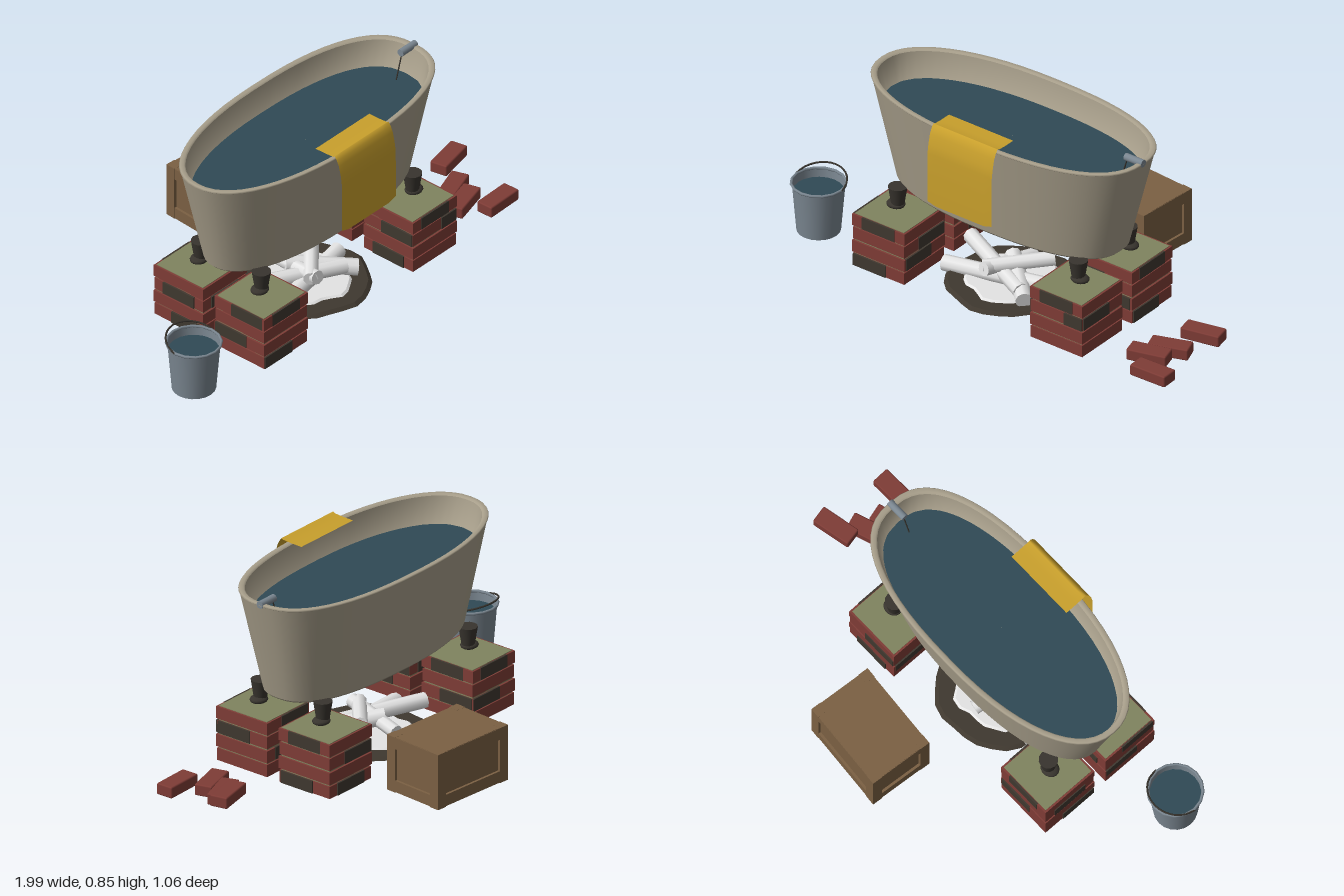
import * as THREE from 'three';
import { RoundedBoxGeometry } from 'three/addons/geometries/RoundedBoxGeometry.js';

const mat = (name, color, extra = {}) => Object.assign(new THREE.MeshStandardMaterial({ color, ...extra }), { name });

export function createModel() {
  const D = { side: THREE.DoubleSide };
  const M = {
    enamel: mat('enamel', 0xa89f8b, D),
    water: mat('water', 0x2f4a55, D),
    cloth: mat('cloth', 0xc9a02c, D),
    brick: mat('redBrick', 0x7f3c36),
    soot: mat('sootBrick', 0x3f382f),
    mortar: mat('mortar', 0x80845f),
    wood: mat('wood', 0x7b6043),
    metal: mat('metal', 0x7b8791, D),
    birch: mat('paleWood', 0xe4e4e4),
    iron: mat('iron', 0x38342e),
  };
  const model = new THREE.Group();
  model.name = 'campfireBath';

  const add = (parent, name, geo, material, x = 0, y = 0, z = 0) => {
    const m = new THREE.Mesh(geo, material);
    m.name = name;
    m.position.set(x, y, z);
    parent.add(m);
    return m;
  };
  const group = (name, x = 0, y = 0, z = 0) => {
    const g = new THREE.Group();
    g.name = name;
    g.position.set(x, y, z);
    model.add(g);
    return g;
  };
  // cylinder between two points
  const rod = (parent, name, a, b, r, material, sides = 10) => {
    const p = new THREE.Vector3(...a), q = new THREE.Vector3(...b);
    const m = add(parent, name, new THREE.CylinderGeometry(r, r, p.distanceTo(q), sides), material);
    m.position.copy(p).add(q).multiplyScalar(0.5);
    m.quaternion.setFromUnitVectors(new THREE.Vector3(0, 1, 0), q.sub(p).normalize());
    return m;
  };

  // skin through oval rings [half length, half width, y]; the tap end is squarer
  const loft = (rings, seg = 56) => {
    const pos = [], idx = [];
    const pw = (v, e) => Math.sign(v) * Math.abs(v) ** e;
    rings.forEach(([a, b, y], i) => {
      for (let j = 0; j < seg; j++) {
        const t = (j / seg) * Math.PI * 2, c = Math.cos(t), s = Math.sin(t);
        const e = 2 / (c > 0 ? 2.5 : 2.2);
        pos.push(a * pw(c, e), y, b * pw(s, e));
        if (i < rings.length - 1) {
          const p = i * seg + j, q = i * seg + ((j + 1) % seg);
          idx.push(p, p + seg, q, p + seg, q + seg, q);
        }
      }
    });
    const g = new THREE.BufferGeometry();
    g.setAttribute('position', new THREE.Float32BufferAttribute(pos, 3));
    g.setIndex(idx);
    g.computeVertexNormals();
    return g;
  };

  // bathtub
  const tub = group('bathtub', -0.025, 0, 0.185);
  add(tub, 'tubWall', loft([[0.553, 0.217, 0.378], [0.661, 0.294, 0.82]]), M.enamel);
  add(tub, 'tubBase', loft([[0.001, 0.001, 0.37], [0.545, 0.211, 0.37], [0.553, 0.217, 0.378]]), M.enamel);
  add(tub, 'tubRim', loft([[0.661, 0.294, 0.82], [0.666, 0.297, 0.824], [0.662, 0.294, 0.83],
    [0.645, 0.278, 0.83], [0.638, 0.272, 0.824]]), M.enamel);
  add(tub, 'tubInside', loft([[0.638, 0.272, 0.824], [0.595, 0.242, 0.64], [0.001, 0.001, 0.64]]), M.enamel);
  add(tub, 'bathWater', loft([[0.612, 0.255, 0.71], [0.001, 0.001, 0.71]], 32), M.water);

  // clawed feet
  for (const sx of [-1, 1]) for (const sz of [-1, 1]) {
    const foot = group('foot', -0.02 + sx * 0.457, 0, 0.187 + sz * 0.162);
    add(foot, 'footLeg', new THREE.CylinderGeometry(0.04, 0.027, 0.082, 12), M.iron, 0, 0.339, 0);
    const pad = add(foot, 'footPad', new THREE.SphereGeometry(0.04, 14, 8), M.iron, sx * 0.009, 0.295, 0);
    pad.scale.set(1.02, 0.4, 0.9);
  }

  // tap and plug chain
  rod(model, 'tap', [0.55, 0.828, 0.185], [0.64, 0.828, 0.185], 0.016, M.metal, 14);
  rod(model, 'plugChain', [0.56, 0.825, 0.185], [0.525, 0.712, 0.185], 0.003, M.iron, 6);

  // towel: a sheet bent along a profile of [y, z]
  const fold = [[0.843, 0.385], [0.844, 0.44], [0.847, 0.48], [0.852, 0.488], [0.835, 0.5], [0.813, 0.51],
    [0.77, 0.52], [0.73, 0.526], [0.6, 0.527], [0.495, 0.527]];
  const sheet = new THREE.PlaneGeometry(0.325, 1, 8, fold.length - 1);
  const sp = sheet.attributes.position;
  for (let i = 0; i < sp.count; i++) {
    const row = Math.floor(i / 9), [y, z] = fold[row];
    const edge = i % 9 === 0 || i % 9 === 8;
    sp.setY(i, y + (edge && row === fold.length - 1 ? 0.012 : 0));
    sp.setZ(i, z);
  }
  sheet.computeVertexNormals();
  add(model, 'towel', sheet, M.cloth, -0.027, 0, 0);

  // brick piers; sooty bricks are [side, course from top, offset along the side]
  const sides = [[0, 0, 1], [1, 1, 0], [2, 0, -1], [3, -1, 0]];
  const pier = (x, z, sooty) => {
    const g = group('brickPier', x, 0, z);
    add(g, 'mortarCore', new THREE.BoxGeometry(0.248, 0.243, 0.248), M.mortar, 0, 0.1455, 0);
    for (let c = 0; c < 4; c++) {
      const k = c % 2 ? 0.26 : 0.265;
      add(g, 'brickCourse', new THREE.BoxGeometry(k, 0.053, k), M.brick, 0, 0.238 - c * 0.0615, 0);
    }
    for (const [side, c, off] of sooty) {
      const [, nx, nz] = sides[side], d = 0.1305;
      const b = add(g, 'sootyBrick', new THREE.BoxGeometry(0.165, 0.0535, 0.008), M.soot,
        nx * d + nz * off, 0.238 - c * 0.0615, nz * d - nx * off);
      b.rotation.y = side * Math.PI / 2;
    }
  };
  pier(-0.475, 0.347, [[0, 0, 0], [0, 3, -0.045], [1, 1, 0.045], [1, 2, -0.04], [2, 1, 0], [3, 0, 0.04], [3, 2, -0.045]]);
  pier(0.425, 0.347, [[0, 0, 0], [1, 1, -0.04], [2, 0, 0.04], [2, 2, 0], [3, 1, 0.045], [3, 3, 0]]);
  pier(-0.475, 0.022, [[0, 1, 0], [1, 0, 0], [1, 2, 0.045], [2, 0, 0], [2, 2, -0.045], [3, 1, 0], [3, 3, 0.045]]);
  pier(0.425, 0.022, [[1, 0, 0], [1, 3, -0.04], [0, 2, 0.04], [2, 1, 0.045], [2, 3, 0], [3, 2, -0.04]]);
  // end of the sooty brick showing on the right front pier
  add(model, 'sootyBrickEnd', new THREE.BoxGeometry(0.09, 0.0535, 0.008), M.soot, 0.51, 0.1765, 0.4775);

  // loose bricks: x, y, z, turn
  for (const [x, y, z, turn] of [[0.902, 0.103, 0.132, 0.21], [0.812, 0.05, 0.232, 0.34],
    [0.775, 0.05, 0.322, 0.27], [0.87, 0.05, 0.423, 0.03]]) {
    add(model, 'looseBrick', new RoundedBoxGeometry(0.172, 0.05, 0.077, 1, 0.006), M.brick, x, y, z).rotation.y = turn;
  }

  // wooden crate with framed sides
  const crate = group('crate', 0.14, 0.1435, -0.377);
  crate.rotation.y = -0.08;
  add(crate, 'crateBody', new THREE.BoxGeometry(0.378, 0.236, 0.26), M.wood);
  const frame = (w, h) => {
    const s = new THREE.Shape([[-w, -h], [w, -h], [w, h], [-w, h]].map((p) => new THREE.Vector2(...p)));
    const u = w - 0.038, v = h - 0.05;
    s.holes.push(new THREE.Path([[-u, -v], [-u, v], [u, v], [u, -v]].map((p) => new THREE.Vector2(...p))));
    return new THREE.ExtrudeGeometry(s, { depth: 0.011, bevelEnabled: false });
  };
  for (let i = 0; i < 4; i++) {
    const turn = i * Math.PI / 2, end = i % 2;
    const d = end ? 0.189 : 0.13;
    const f = add(crate, 'crateFrame', frame(end ? 0.141 : 0.2, 0.1195), M.wood, Math.sin(turn) * d, 0, Math.cos(turn) * d);
    f.rotation.y = turn;
  }
  add(crate, 'crateLid', new THREE.BoxGeometry(0.396, 0.005, 0.278), M.wood, 0, 0.1185, 0);
  for (const sx of [-1, 1]) for (const sz of [-1, 1])
    add(crate, 'cornerPost', new THREE.BoxGeometry(0.045, 0.243, 0.045), M.wood, sx * 0.179, 0, sz * 0.12);

  // bucket with water and a handle lying back
  const bucket = group('bucket', -0.88, 0, 0.345);
  add(bucket, 'bucketWall', new THREE.CylinderGeometry(0.108, 0.09, 0.218, 20, 1, true), M.metal, 0, 0.134, 0);
  add(bucket, 'bucketBase', new THREE.CircleGeometry(0.09, 20).rotateX(Math.PI / 2), M.metal, 0, 0.025, 0);
  add(bucket, 'bucketRim', new THREE.TorusGeometry(0.111, 0.006, 6, 16).rotateX(Math.PI / 2), M.metal, 0, 0.243, 0);
  add(bucket, 'bucketWater', new THREE.CircleGeometry(0.104, 20).rotateX(-Math.PI / 2), M.water, 0, 0.205, 0);
  const arc = [];
  for (let i = 0; i <= 8; i++) {
    const t = (i / 8) * Math.PI;
    arc.push(new THREE.Vector3(-0.115 * Math.cos(t), 0.243 + 0.031 * Math.sin(t), -0.112 * Math.sin(t)));
  }
  add(bucket, 'bucketHandle', new THREE.TubeGeometry(new THREE.CatmullRomCurve3(arc), 16, 0.004, 6), M.iron);

  // fire bed with ragged edges
  const ragged = (r, h, wobble) => {
    const g = new THREE.CylinderGeometry(r * 0.94, r, h, 28);
    const p = g.attributes.position;
    for (let i = 0; i < p.count; i++) {
      const t = Math.atan2(p.getZ(i), p.getX(i));
      const k = 1 + wobble * (Math.sin(t * 5 + 1) + 0.6 * Math.sin(t * 9));
      p.setX(i, p.getX(i) * k);
      p.setZ(i, p.getZ(i) * k);
    }
    g.computeVertexNormals();
    return g;
  };
  add(model, 'charBed', ragged(0.27, 0.012, 0.025), M.soot, -0.025, 0.027, 0.185);
  add(model, 'ashBed', ragged(0.19, 0.008, 0.06), M.birch, -0.025, 0.036, 0.185);

  // logs
  for (const [a, b, r] of [
    [[-0.31, 0.04, 0.26], [0.16, 0.08, 0.2], 0.035],
    [[-0.3, 0.095, 0.1], [0.1, 0.075, 0.29], 0.033],
    [[-0.1, 0.11, 0.28], [0.12, 0.14, 0.09], 0.031],
    [[-0.08, 0.115, 0.3], [-0.03, 0.07, 0.03], 0.03],
    [[0.14, 0.06, 0.32], [-0.07, 0.1, 0.12], 0.036],
  ]) rod(model, 'log', a, b, r, M.birch, 9);

  return model;
}
